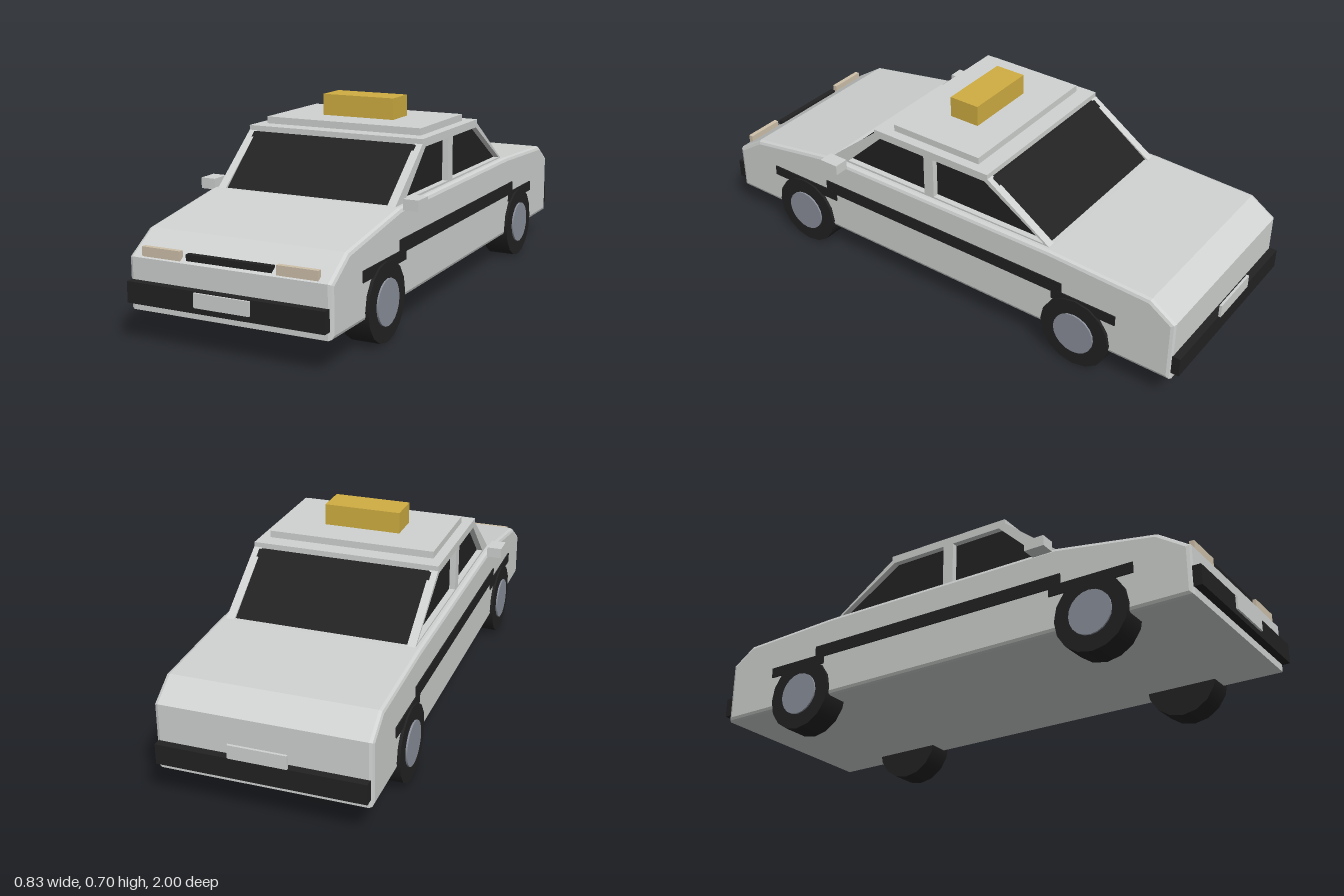
import * as THREE from 'three';

const material = (name, color) => {
  const m = new THREE.MeshStandardMaterial({ color });
  m.name = name;
  return m;
};

export function createModel() {
  const car = new THREE.Group();
  car.name = 'car';
  const paint = material('silver paint', 0xcfd2d0);
  const black = material('black trim', 0x222222);
  const amber = material('roof sign yellow', 0xd0ae42);
  const lamp = material('lamp beige', 0xcfc1aa);
  const steel = material('hub steel', 0x8b909b);

  const add = (name, geometry, mat) => {
    const mesh = new THREE.Mesh(geometry, mat);
    mesh.name = name;
    car.add(mesh);
    return mesh;
  };
  // Box given by its limits on each axis
  const box = (name, mat, [x0, x1], [y0, y1], [z0, z1]) =>
    add(name, new THREE.BoxGeometry(x1 - x0, y1 - y0, z1 - z0), mat)
      .position.set((x0 + x1) / 2, (y0 + y1) / 2, (z0 + z1) / 2);
  const points = (list) => list.map(([z, y]) => new THREE.Vector2(z, y));
  // Side profile in (z, y), extruded across the car and centred on x
  const extrudeSide = (outline, width, bevel = 0, holes = []) => {
    const shape = new THREE.Shape(points(outline));
    shape.holes = holes.map((h) => new THREE.Path(points(h)));
    const depth = width - 2 * bevel;
    return new THREE.ExtrudeGeometry(shape, {
      depth, bevelEnabled: bevel > 0, bevelThickness: bevel,
      bevelSize: bevel, bevelOffset: -bevel, bevelSegments: 2,
    }).translate(0, 0, -depth / 2).rotateY(-Math.PI / 2);
  };

  // Lower body
  add('body', extrudeSide([
    [-0.962, 0.107], [0.965, 0.107], [0.965, 0.28], [0.855, 0.352],
    [0.49, 0.412], [-0.48, 0.415], [-0.87, 0.398], [-0.962, 0.336],
  ], 0.728, 0.014), paint);

  // Dark glasshouse with painted window frames on both sides
  add('glass', extrudeSide([
    [-0.472, 0.405], [0.482, 0.405], [0.281, 0.582], [-0.226, 0.582],
  ], 0.636), black);
  const windows = [
    [[0.055, 0.42], [0.41, 0.42], [0.25, 0.573], [0.055, 0.573]],
    [[-0.45, 0.42], [0.014, 0.42], [0.014, 0.573], [-0.205, 0.573]],
  ];
  for (const side of [1, -1]) {
    add('windowFrame', extrudeSide([
      [-0.485, 0.405], [0.495, 0.405], [0.276, 0.585], [-0.22, 0.585],
    ], 0.03, 0, windows), paint).position.x = side * 0.325;
  }

  // Roof and sign
  box('roof', paint, [-0.34, 0.34], [0.58, 0.602], [-0.217, 0.275]);
  box('roofPanel', paint, [-0.304, 0.304], [0.602, 0.627], [-0.155, 0.212]);
  box('roofSign', amber, [-0.14, 0.14], [0.627, 0.704], [-0.03, 0.087]);

  // Bumpers, plates and grille
  box('frontBumper', black, [-0.355, 0.355], [0.135, 0.206], [0.96, 0.993]);
  box('rearBumper', black, [-0.355, 0.355], [0.135, 0.206], [-0.99, -0.955]);
  box('frontPlate', paint, [-0.1, 0.1], [0.155, 0.203], [0.99, 1]);
  box('rearPlate', paint, [-0.1, 0.1], [0.212, 0.26], [-1, -0.991]);
  box('grille', black, [-0.154, 0.154], [0.286, 0.308], [0.935, 0.955]);

  // Parts mirrored left and right
  const tyre = new THREE.CylinderGeometry(0.134, 0.134, 0.1, 16).rotateZ(Math.PI / 2);
  const hub = new THREE.CylinderGeometry(0.078, 0.078, 0.012, 20).rotateZ(Math.PI / 2);
  for (const s of [1, -1]) {
    const span = (a, b) => (s > 0 ? [a, b] : [-b, -a]);
    box('headlight', lamp, span(0.173, 0.316), [0.284, 0.316], [0.943, 0.96]);
    box('mirror', paint, span(0.362, 0.417), [0.401, 0.439], [0.4, 0.475]);
    box('sideStripe', black, span(0.36, 0.368), [0.263, 0.31], [-0.54, 0.505]);
    box('frontArchStripe', black, span(0.36, 0.3685), [0.235, 0.273], [0.46, 0.77]);
    box('rearArchStripe', black, span(0.36, 0.3685), [0.235, 0.273], [-0.75, -0.5]);
    for (const z of [0.617, -0.6]) {
      add('tyre', tyre, black).position.set(s * 0.325, 0.134, z);
      add('hub', hub, steel).position.set(s * 0.375, 0.134, z);
    }
  }
  return car;
}
